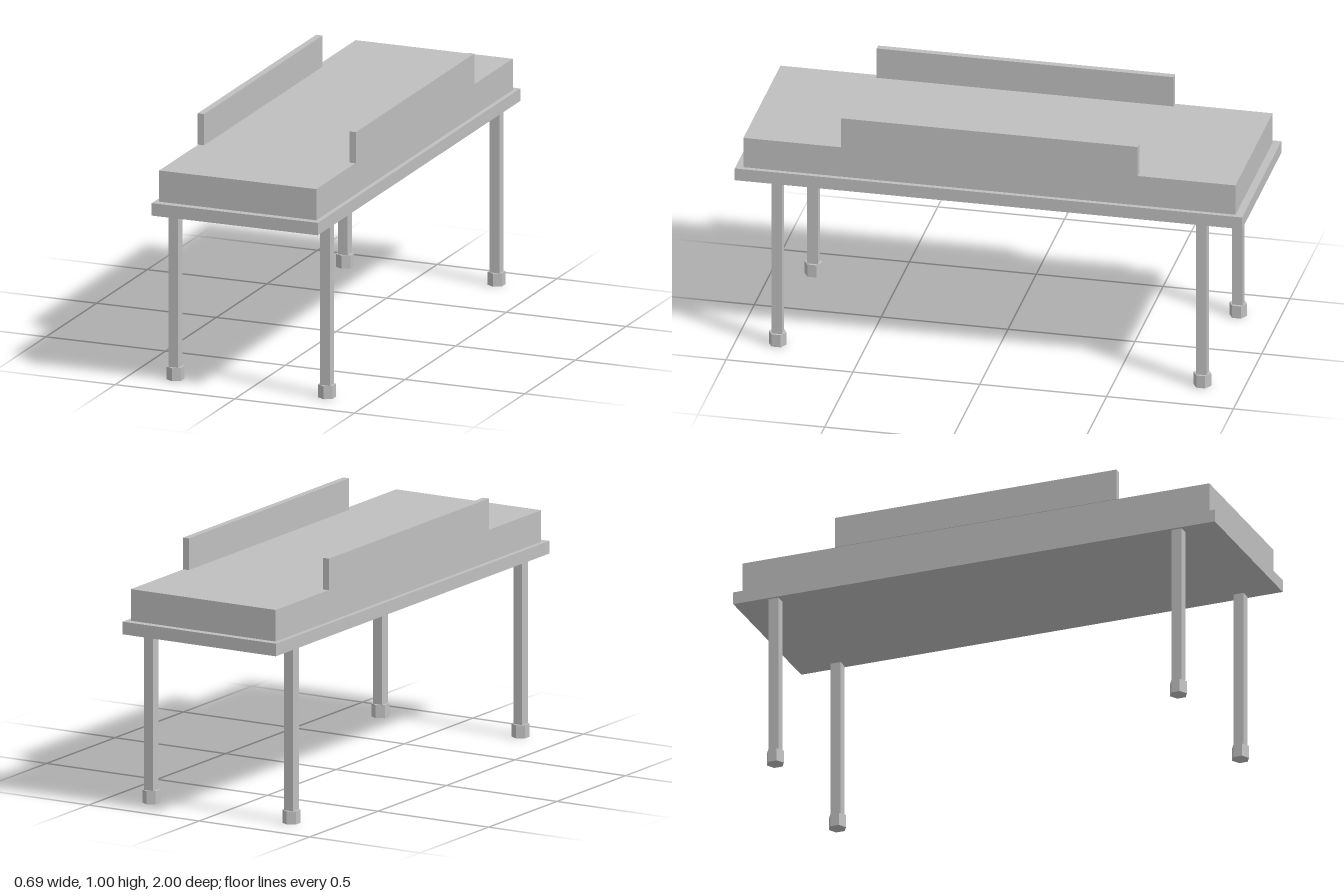
import * as THREE from 'three';

export function createModel() {
  const model = new THREE.Group();
  model.name = 'bed';
  const grey = new THREE.MeshStandardMaterial({ color: 0xbfbfbf });
  grey.name = 'plain grey';

  const add = (name, geometry, x, y, z) => {
    const mesh = new THREE.Mesh(geometry, grey);
    mesh.name = name;
    mesh.position.set(x, y, z);
    model.add(mesh);
  };

  // Base board and mattress
  add('baseBoard', new THREE.BoxGeometry(0.694, 0.05, 2), 0, 0.72, 0);
  add('mattress', new THREE.BoxGeometry(0.656, 0.125, 1.94), 0, 0.8075, 0);

  // Hexagonal feet with flat sides facing left and right
  const footGeometry = new THREE.CylinderGeometry(0.035, 0.035, 0.052, 6).toNonIndexed();
  footGeometry.computeVertexNormals();
  const legGeometry = new THREE.BoxGeometry(0.04, 0.643, 0.042);

  for (const side of [-1, 1]) {
    const sideName = side > 0 ? 'left' : 'right';
    // Safety rail standing on the mattress edge
    add(sideName + 'Rail', new THREE.BoxGeometry(0.027, 0.125, 1.17), side * 0.317, 0.9325, 0);

    for (const end of [-1, 1]) {
      const corner = sideName + (end > 0 ? 'Front' : 'Back');
      add(corner + 'Leg', legGeometry, side * 0.317, 0.3735, end * 0.837);
      add(corner + 'Foot', footGeometry, side * 0.317, 0.026, end * 0.837);
    }
  }
  return model;
}
